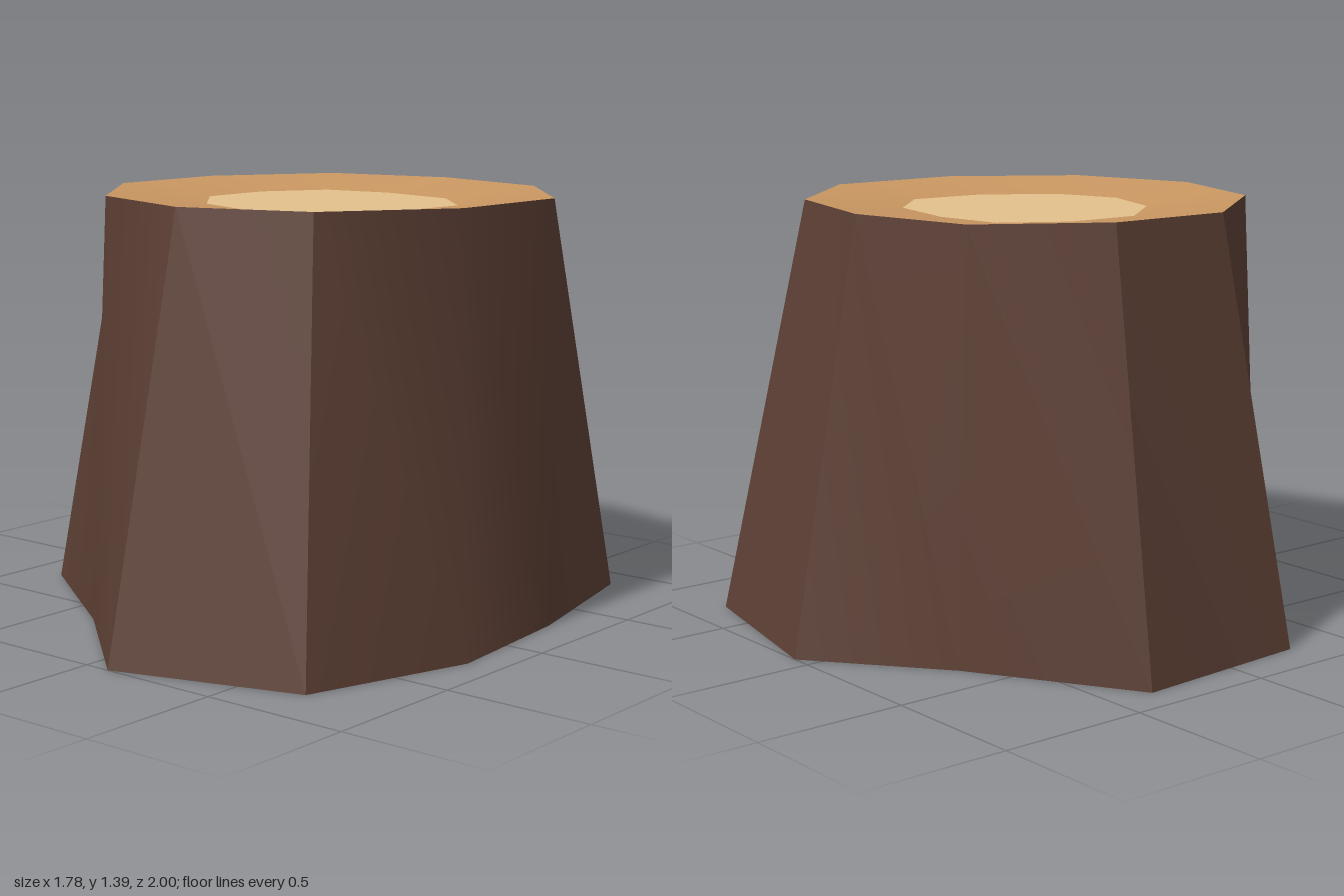
import * as THREE from 'three';
import { toCreasedNormals } from 'three/addons/utils/BufferGeometryUtils.js';

const HEIGHT = 1.39;
const CORE_HEIGHT = 1.357; // the cut top is slightly dished

// Outlines as [x, z], clockwise seen from above, starting at the back
const base = [[0.07, -1], [0.71, -0.86], [0.84, -0.28], [0.888, 0.24], [0.71, 0.805],
  [0.09, 1], [-0.35, 0.62], [-0.85, 0.28], [-0.89, -0.35], [-0.35, -0.67]];
const rim = [[0.07, -0.74], [0.51, -0.635], [0.828, -0.28], [0.808, 0.18], [0.54, 0.565],
  [0.115, 0.705], [-0.32, 0.565], [-0.625, 0.17], [-0.61, -0.26], [-0.365, -0.64]];
const core = [[0.06, -0.415], [0.345, -0.36], [0.525, -0.18], [0.5, 0.08], [0.34, 0.305],
  [0.12, 0.38], [-0.13, 0.295], [-0.31, 0.08], [-0.3, -0.175], [-0.175, -0.375]];

// Corners where the bark has a sharp edge; between them it is smooth
const barkEdges = [0, 1, 4, 5, 7, 8, 10];

// Band joining two outlines, with separate vertices at each sharp edge
function band(outer, outerY, inner, innerY, edges) {
  const positions = [];
  const index = [];
  for (let e = 0; e + 1 < edges.length; e++) {
    for (let i = edges[e]; i <= edges[e + 1]; i++) {
      const [ox, oz] = outer[i % outer.length];
      const [ix, iz] = inner[i % inner.length];
      const a = positions.length / 3;
      positions.push(ox, outerY, oz, ix, innerY, iz);
      if (i < edges[e + 1]) index.push(a + 2, a, a + 3, a, a + 1, a + 3);
    }
  }
  const geometry = new THREE.BufferGeometry();
  geometry.setAttribute('position', new THREE.Float32BufferAttribute(positions, 3));
  geometry.setIndex(index);
  geometry.computeVertexNormals();
  return geometry;
}

// Flat horizontal face, facing up or down
function flatFace(outline, y, facingUp) {
  const sign = facingUp ? -1 : 1;
  const shape = new THREE.Shape(outline.map(([x, z]) => new THREE.Vector2(x, sign * z)));
  const geometry = new THREE.ShapeGeometry(shape);
  geometry.rotateX(sign * Math.PI / 2);
  geometry.translate(0, y, 0);
  return geometry;
}

export function createModel() {
  const material = (name, color) => {
    const m = new THREE.MeshStandardMaterial({ color });
    m.name = name;
    return m;
  };
  const bark = material('bark', 0x5c3f34);
  const wood = material('wood', 0xc99761);
  const paleWood = material('paleWood', 0xe4c18d);

  const group = new THREE.Group();
  group.name = 'treeStump';
  const add = (name, geometry, mat) => {
    const mesh = new THREE.Mesh(geometry, mat);
    mesh.name = name;
    group.add(mesh);
  };

  add('barkWall', band(base, 0, rim, HEIGHT, barkEdges), bark);
  const ring = band(rim, HEIGHT, core, CORE_HEIGHT, [0, 10]);
  add('outerWoodRing', toCreasedNormals(ring, 0.6), wood);
  add('heartwood', flatFace(core, CORE_HEIGHT, true), paleWood);
  add('underside', flatFace(base, 0, false), paleWood);
  return group;
}
